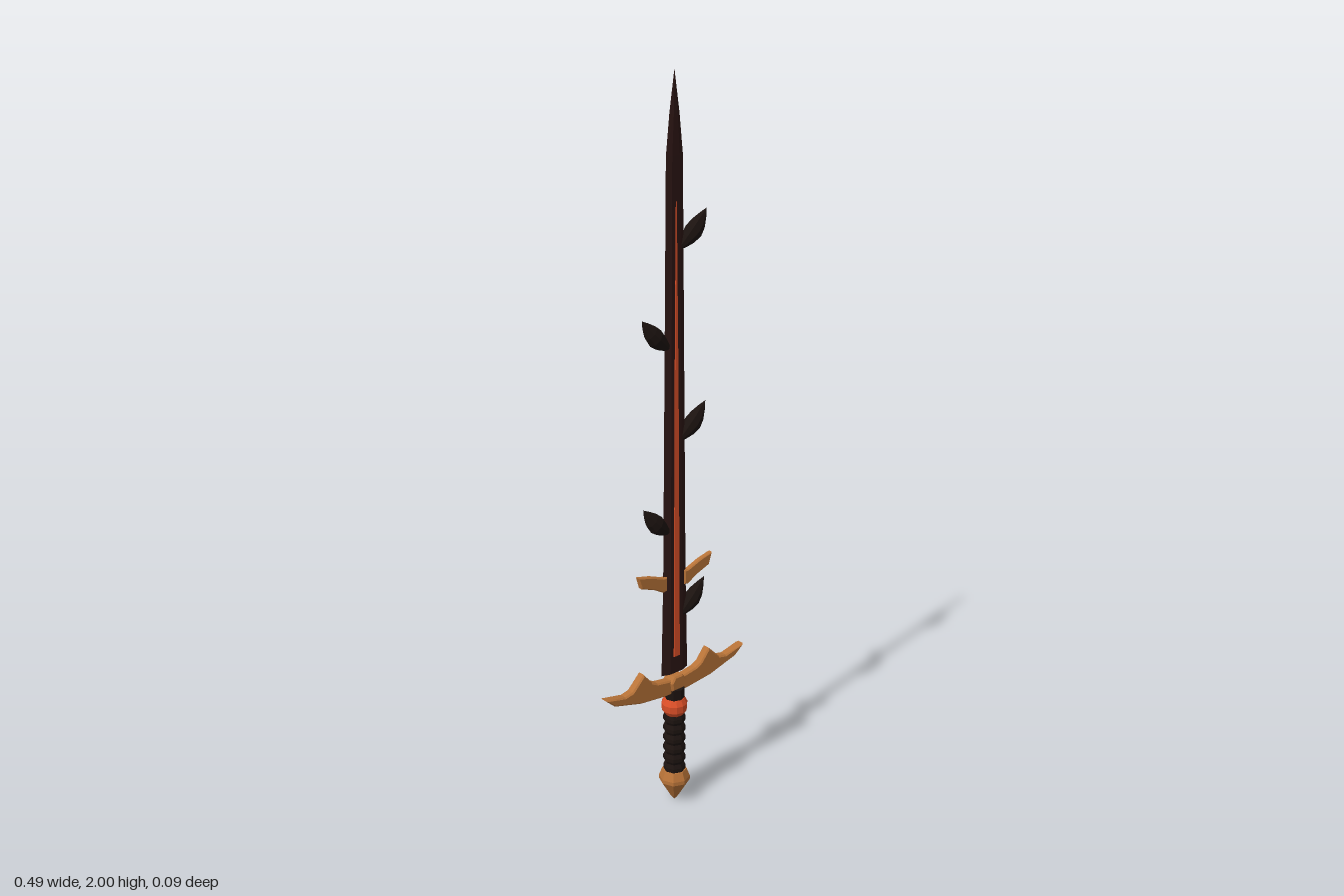
import * as THREE from 'three';

const mat = (color) => new THREE.MeshStandardMaterial({ color, flatShading: true });
const DARK = mat(0x2c1614), BARK = mat(0x1c1310), GOLD = mat(0xb87338), EMBER = mat(0xdc4f28);

function add(group, name, geometry, material) {
  const mesh = new THREE.Mesh(geometry, material);
  mesh.name = name;
  group.add(mesh);
  return mesh;
}

const lathe = (pts, sides = 8) =>
  new THREE.LatheGeometry(pts.map(([r, y]) => new THREE.Vector2(r, y)), sides);

// Joins equal rings of [x, y, z] points and closes both ends
function loft(rings) {
  const n = rings[0].length, last = (rings.length - 1) * n, index = [];
  for (let i = 0; i < rings.length - 1; i++) {
    for (let j = 0; j < n; j++) {
      const a = i * n + j, b = i * n + (j + 1) % n;
      index.push(a, b, b + n, a, b + n, a + n);
    }
  }
  for (let j = 1; j < n - 1; j++) {
    index.push(0, j + 1, j, last, last + j, last + j + 1);
  }
  const g = new THREE.BufferGeometry();
  g.setAttribute('position', new THREE.Float32BufferAttribute(rings.flat(2), 3));
  g.setIndex(index);
  g.computeVertexNormals();
  return g;
}

// Six-sided blade section: edge half width w, flat half width f, half thickness t
const section = ([y, w, f, t]) =>
  [[w, y, 0], [f, y, -t], [-f, y, -t], [-w, y, 0], [-f, y, t], [f, y, t]];

// Bevelled plate centred on z = 0
function plate(pts, halfDepth, bevel) {
  const shape = new THREE.Shape(pts.map(([x, y]) => new THREE.Vector2(x, y)));
  const g = new THREE.ExtrudeGeometry(shape, {
    depth: 2 * (halfDepth - bevel), bevelEnabled: true, bevelSegments: 1,
    bevelSize: bevel, bevelThickness: bevel, bevelOffset: -bevel,
  });
  return g.translate(0, 0, bevel - halfDepth);
}

// Pointed leaf growing out and up, flattened in z and slightly bowed
function leafGeometry() {
  const length = 0.128;
  const g = lathe([[0, 0], [0.011, 0.014], [0.02, 0.036], [0.025, 0.06],
    [0.021, 0.083], [0.011, 0.107], [0, length]]);
  const p = g.attributes.position;
  for (let i = 0; i < p.count; i++) {
    const bow = 0.006 * Math.sin(Math.PI * p.getY(i) / length);
    p.setXYZ(i, p.getX(i) + bow, p.getY(i), p.getZ(i) * 0.82);
  }
  g.rotateZ(-Math.PI / 4);
  g.translate(0.015, -0.03, 0);
  g.computeVertexNormals();
  return g;
}

export function createModel() {
  const sword = new THREE.Group();
  sword.name = 'sword';

  // Blade
  add(sword, 'blade', loft([
    [0.41, 0.046, 0.022, 0.009], [0.7, 0.039, 0.02, 0.009],
    [1.8, 0.027, 0.012, 0.006], [1.9, 0.016, 0.006, 0.005], [2, 0.0005, 0.0002, 0.0005],
  ].map(section)), DARK);

  // Glowing strip standing just proud of both faces
  add(sword, 'glowStrip', loft([
    [0.46, 0.012, 0.01, 0.011], [1.2, 0.0075, 0.006, 0.0095], [1.69, 0.0015, 0.001, 0.0078],
  ].map(section)), EMBER);

  // Leaves alternating along the two edges
  const leaf = leafGeometry();
  [0.6, 0.85, 1.1, 1.35, 1.6].forEach((y, i) => {
    const mesh = add(sword, 'leaf', leaf, BARK);
    mesh.position.y = y;
    if (i % 2) mesh.rotation.y = Math.PI;
  });

  // Small wings on the lower blade
  const wing = plate([[0.03, 0.662], [0.043, 0.66], [0.075, 0.678], [0.118, 0.694],
    [0.128, 0.728], [0.085, 0.718], [0.043, 0.702], [0.03, 0.702]], 0.008, 0.003);
  for (const turn of [0, Math.PI]) {
    add(sword, 'bladeWing', wing, GOLD).rotation.y = turn;
  }

  // Crossguard: half outline mirrored into a full one
  const half = [[0.04, 0.35], [0.125, 0.36], [0.215, 0.385], [0.246, 0.413], [0.18, 0.4],
    [0.155, 0.405], [0.116, 0.444], [0.088, 0.41], [0.068, 0.4], [0.025, 0.393]];
  const outline = [...half, ...half.map(([x, y]) => [-x, y]).reverse()];
  add(sword, 'crossguard', plate(outline, 0.013, 0.004), GOLD);

  // Centre boss of the guard
  add(sword, 'guardBoss', plate([[-0.022, 0.362], [0.022, 0.362], [0.026, 0.385],
    [0.014, 0.403], [-0.014, 0.403], [-0.026, 0.385]], 0.021, 0.004), GOLD);

  // Collar and ember ring
  add(sword, 'collar', lathe([[0, 0.325], [0.027, 0.325], [0.028, 0.362], [0, 0.362]]), BARK);
  add(sword, 'emberRing', lathe([[0, 0.28], [0.026, 0.281], [0.035, 0.295], [0.036, 0.315],
    [0.028, 0.331], [0, 0.334]], 12), EMBER);

  // Grip with wrapped ridges
  const grip = [[0, 0.098]];
  for (let i = 0; i < 6; i++) {
    const y = 0.098 + i * 0.031;
    grip.push([0.026, y], [0.031, y + 0.009], [0.031, y + 0.02]);
  }
  grip.push([0.026, 0.284], [0, 0.284]);
  add(sword, 'grip', lathe(grip), BARK);

  // Pommel
  add(sword, 'pommel', lathe([[0, 0.005], [0.012, 0.02], [0.043, 0.072], [0.043, 0.083],
    [0.034, 0.106], [0, 0.106]]), GOLD);

  return sword;
}
